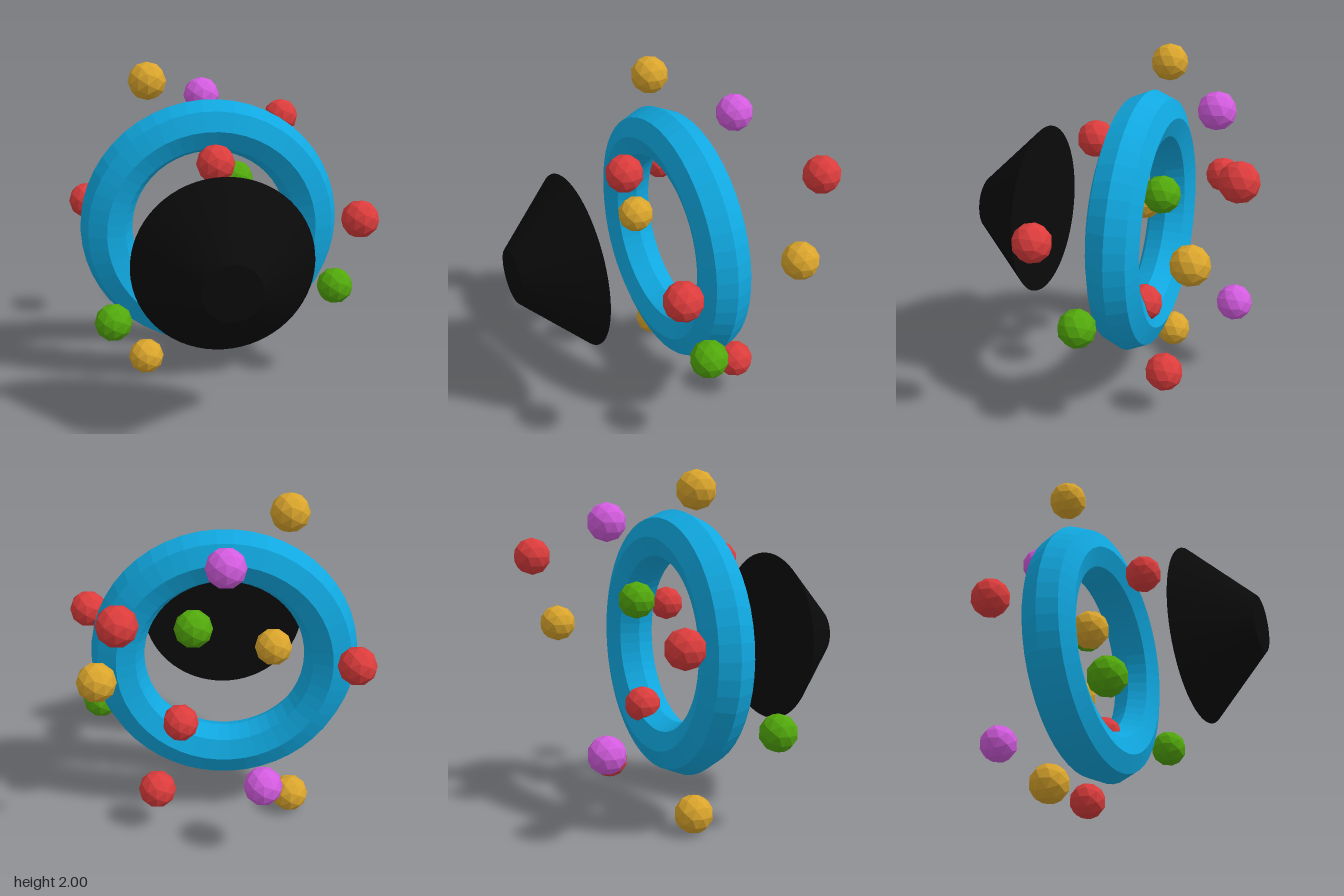
import * as THREE from 'three';

const material = (color) => new THREE.MeshStandardMaterial({ color, flatShading: true });

export function createModel() {
  const model = new THREE.Group();
  const add = (name, geometry, mat, x, y, z) => {
    const mesh = new THREE.Mesh(geometry, mat);
    mesh.name = name;
    mesh.position.set(x, y, z);
    model.add(mesh);
    return mesh;
  };

  // Upright ring, octagonal in section
  add('ring', new THREE.TorusGeometry(0.615, 0.153, 8, 50), material(0x10a8e0), -0.05, 1.015, -0.115);

  // Truncated cone in front of the ring, narrow end forward
  const cone = add('cone', new THREE.CylinderGeometry(0.16, 0.505, 0.365, 64), material(0x0a0a0a), -0.05, 1.015, 0.703);
  cone.rotation.x = Math.PI / 2;

  // Faceted balls floating around the ring, grouped by colour
  const ball = new THREE.IcosahedronGeometry(0.11, 1);
  const balls = [
    ['goldBall', 0xdaa52c, [
      [-0.4, 1.89, -0.155], [-0.45, 0.115, -0.195], [0.64, 1.08, -0.565], [-0.34, 1.025, -0.025]]],
    ['purpleBall', 0xd45ce0, [
      [-0.26, 0.46, -0.63], [-0.05, 1.715, -0.525]]],
    ['redBall', 0xdc3c3c, [
      [0.495, 1.505, -0.77], [-0.775, 1.1, -0.42], [0.345, 0.255, -0.355],
      [-0.05, 1.49, 0.185], [0.77, 1.15, 0.255], [0.21, 0.61, -0.19]]],
    ['greenBall', 0x52a80c, [
      [-0.65, 0.57, 0.225], [0.695, 0.645, 0.042], [0.125, 1.255, -0.265]]],
  ];
  for (const [name, color, centres] of balls) {
    const mat = material(color);
    centres.forEach((c, i) => add(name + (i + 1), ball, mat, ...c));
  }
  return model;
}
